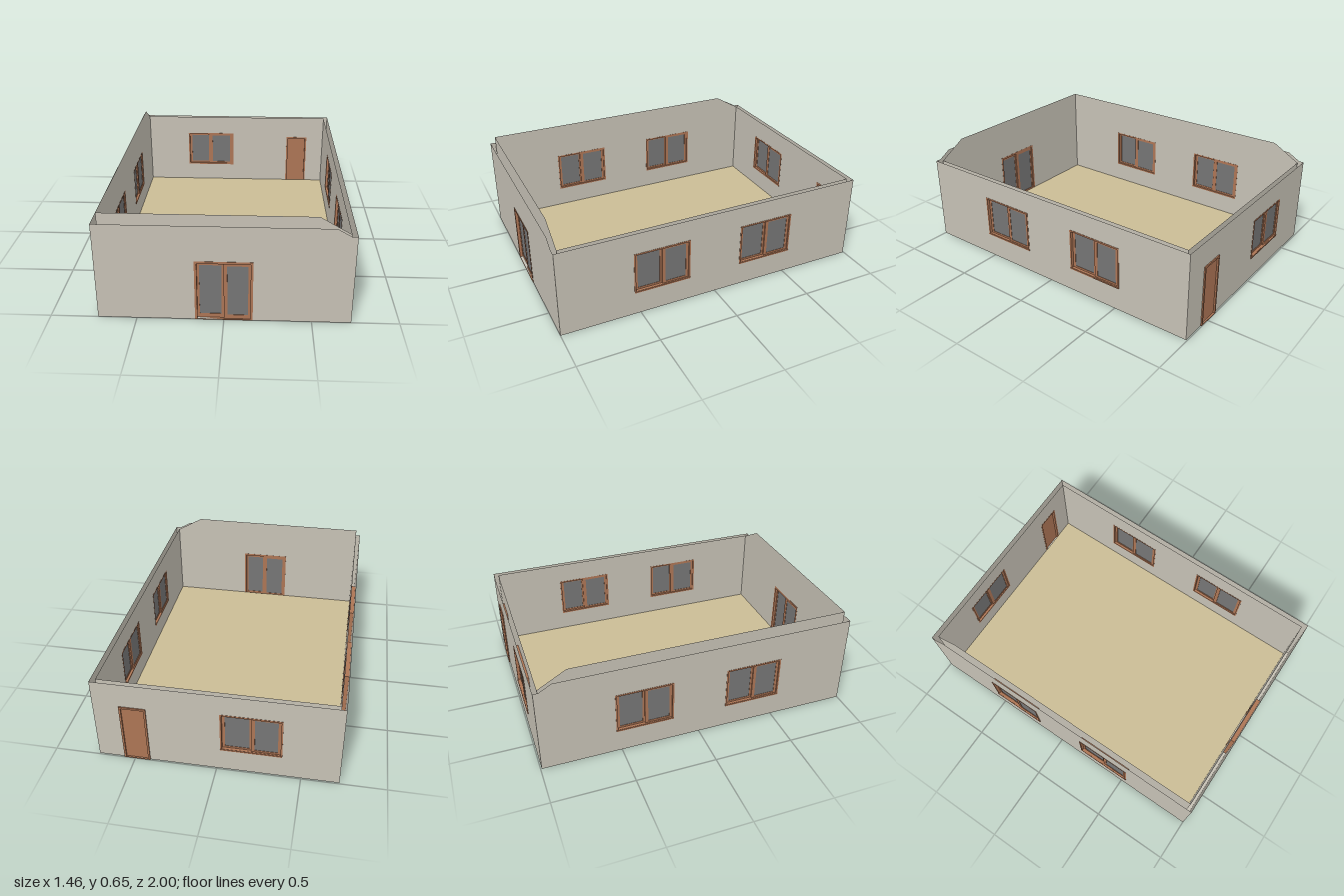
import * as THREE from 'three';

const wallMat = new THREE.MeshStandardMaterial({ color: 0xc6c1b5, side: THREE.DoubleSide });
wallMat.name = 'plaster';
const floorMat = new THREE.MeshStandardMaterial({ color: 0xcabc95 });
floorMat.name = 'floor beige';
const woodMat = new THREE.MeshStandardMaterial({ color: 0xad7555 });
woodMat.name = 'brown wood';
const glassMat = new THREE.MeshStandardMaterial({ color: 0x757575 });
glassMat.name = 'grey glass';

const HX = 0.725, HZ = 0.9965, T = 0.03; // outer half sizes, wall thickness
const EAVE = 0.555;

function add(parent, name, geometry, material, x = 0, y = 0, z = 0) {
  const m = new THREE.Mesh(geometry, material);
  m.name = name;
  m.position.set(x, y, z);
  parent.add(m);
  return m;
}

const box = (w, h, d) => new THREE.BoxGeometry(w, h, d);

function rect(Type, x0, y0, x1, y1) {
  const p = new Type();
  p.moveTo(x0, y0);
  p.lineTo(x1, y0);
  p.lineTo(x1, y1);
  p.lineTo(x0, y1);
  p.closePath();
  return p;
}

// Rectangular ring: outer and inner are [x0, y0, x1, y1]
function ring(outer, inner, depth) {
  const s = rect(THREE.Shape, ...outer);
  s.holes.push(rect(THREE.Path, ...inner));
  return new THREE.ExtrudeGeometry(s, { depth, bevelEnabled: false });
}

// One wall skin; slope = +1 / -1 drops that end to the eave, 0 is flat
function skin(half, top, slope, openings) {
  let s;
  if (slope === 0) {
    s = rect(THREE.Shape, -half, 0, half, EAVE);
  } else {
    const end = half > 0.8 ? 0.965 : 0.69;
    s = new THREE.Shape([
      [-half, 0], [half, 0], [half, EAVE], [end, EAVE],
      [end - (top - EAVE) * 1.73, top], [-half, top],
    ].map(([x, y]) => new THREE.Vector2(x * slope, y)));
  }
  for (const o of openings) {
    s.holes.push(rect(THREE.Path, o.u - o.w / 2, Math.max(o.y, 0.002), o.u + o.w / 2, o.y + o.h));
  }
  return new THREE.ShapeGeometry(s);
}

// Frame with two sliding glazed leaves, or one solid leaf; z = 0 is the outer wall face
function makeOpening(o) {
  const g = new THREE.Group();
  g.name = o.name;
  g.position.set(o.u, o.y, 0);
  const a = o.w / 2, t = o.frame, foot = o.y > 0 ? t : 0.004;
  const out = o.out || 0.002;
  add(g, 'frame', ring([-a, 0, a, o.h], [-a + t, foot, a - t, o.h - t], T + 0.001 + out),
    woodMat, 0, 0, -T - 0.001);
  if (o.solid) {
    add(g, 'doorLeaf', box(o.w - 2 * t, o.h - t - foot, 0.012), woodMat, 0, (o.h - t + foot) / 2, -0.009);
    return g;
  }
  const y0 = foot, y1 = o.h - t, gy0 = o.glassBottom, gy1 = o.h - o.glassTop;
  const leaves = [
    [-a + t, 0.012, -a + 0.027, -0.0125, -0.024],
    [0, a - t, 0.02, a - 0.027, -0.015],
  ];
  for (const [x0, x1, g0, g1, z] of leaves) {
    add(g, 'leafFrame', ring([x0, y0, x1, y1], [g0, gy0, g1, gy1], 0.008), woodMat, 0, 0, z);
    add(g, 'glassPane', box(g1 - g0, gy1 - gy0, 0.003), glassMat, (g0 + g1) / 2, (gy0 + gy1) / 2, z + 0.004);
  }
  if (o.y > 0) add(g, 'sill', box(o.w, 0.008, 0.01), woodMat, 0, 0.004, 0);
  return g;
}

const windowAt = (u) => ({
  name: 'window', u, w: 0.363, y: 0.15, h: 0.27, frame: 0.01, glassBottom: 0.022, glassTop: 0.022,
});

export function createModel() {
  const model = new THREE.Group();
  model.name = 'roofless house';
  const house = new THREE.Group();
  house.name = 'house';
  house.position.z = 1 - HZ;
  model.add(house);

  // Ground slab and floor
  add(house, 'baseSlab', box(HX * 2, 0.004, HZ * 2), wallMat, 0, 0.002, 0);
  add(house, 'floor', box((HX - T) * 2, 0.018, (HZ - T) * 2), floorMat, 0, 0.013, 0);

  // Walls: two skins with an open cavity, inner skin taller on two sides
  const frontDoor = {
    name: 'glassDoor', u: 0, w: 0.33, y: 0, h: 0.382, frame: 0.014, glassBottom: 0.03, glassTop: 0.032,
  };
  const backDoor = {
    name: 'backDoor', u: -0.487, w: 0.16, y: 0, h: 0.395, frame: 0.012, solid: true, out: 0.007,
  };
  const walls = [
    { name: 'frontWall', half: HX, dist: HZ, turn: 0, slope: 1, openings: [frontDoor] },
    { name: 'leftWall', half: HZ, dist: HX, turn: Math.PI / 2, slope: 0, openings: [windowAt(-0.352), windowAt(0.352)] },
    { name: 'backWall', half: HX, dist: HZ, turn: Math.PI, slope: 0, openings: [windowAt(0.205), backDoor] },
    { name: 'rightWall', half: HZ, dist: HX, turn: -Math.PI / 2, slope: -1, openings: [windowAt(-0.352), windowAt(0.352)] },
  ];
  for (const w of walls) {
    const g = new THREE.Group();
    g.name = w.name;
    g.rotation.y = w.turn;
    g.position.set(Math.sin(w.turn) * w.dist, 0, Math.cos(w.turn) * w.dist);
    add(g, 'outerSkin', skin(w.half, 0.6, w.slope, w.openings), wallMat);
    add(g, 'innerSkin', skin(w.half - T, 0.655, w.slope, w.openings), wallMat, 0, 0, -T);
    for (const o of w.openings) g.add(makeOpening(o));
    house.add(g);
  }
  return model;
}
